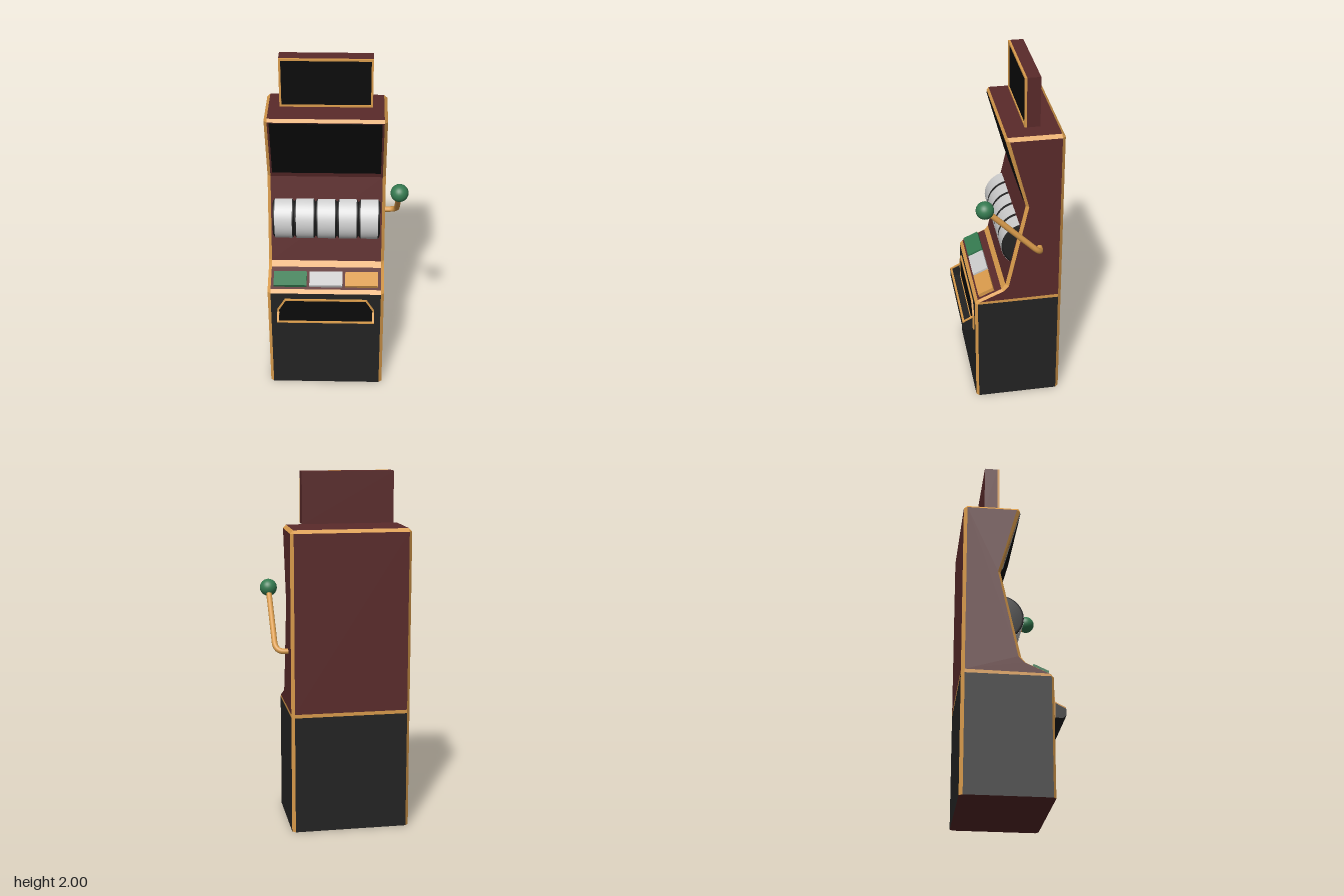
import * as THREE from 'three';

const mat = (color) => new THREE.MeshStandardMaterial({ color });
const M = {
  red: mat(0x5a2a2a), black: mat(0x232323), screen: mat(0x0a0a0a),
  gold: mat(0xd99b4b), green: mat(0x357a50), grey: mat(0xcccccc),
};

function add(parent, name, geo, material, x = 0, y = 0, z = 0, rx = 0) {
  const mesh = new THREE.Mesh(geo, material);
  mesh.name = name;
  mesh.position.set(x, y, z);
  mesh.rotation.x = rx;
  parent.add(mesh);
  return mesh;
}
const box = (w, h, d) => new THREE.BoxGeometry(w, h, d);
const toShape = (pts) => new THREE.Shape(pts.map(([a, b]) => new THREE.Vector2(a, b)));
const extrude = (shape, depth) => new THREE.ExtrudeGeometry(shape, { depth, bevelEnabled: false });
// Extrudes a [z, y] outline across x, centred on x = 0
const extrudeX = (pts, width) =>
  extrude(toShape(pts), width).rotateY(-Math.PI / 2).translate(width / 2, 0, 0);
// Flat ring between two outlines
function ring(outer, inner, depth) {
  const s = toShape(outer);
  s.holes.push(toShape(inner));
  return extrude(s, depth);
}

// Cabinet outline: outer [z, y], side-panel [z, y], colour of the band to the next point
const OUTLINE = [
  [0.212, 0, 0.197, 0, 'black'],
  [0.212, 0.665, 0.197, 0.665, 'gold'],
  [0.195, 0.685, 0.185, 0.68, 'red'],
  [0.06, 0.745, 0.052, 0.738, 'gold'],
  [0.037, 0.775, 0.02, 0.772, 'red'],
  [-0.074, 1.278, -0.09, 1.278, 'red'],
  [0.037, 1.68, 0.016, 1.68, 'gold'],
  [0.026, 1.698, 0.016, 1.68, 'red'],
  [-0.264, 1.698, -0.264, 1.68, 'gold'],
  [-0.283, 1.68, -0.264, 1.68, 'red'],
  [-0.283, 0.685, -0.264, 0.685, 'gold'],
  [-0.283, 0.665, -0.264, 0.665, 'black'],
  [-0.283, 0, -0.264, 0, 'red'],
];

function cabinet(parent) {
  const W = 0.334, C = 0.018;
  const faces = { red: [], black: [], gold: [] };
  const quad = (key, a, b, c, d) => faces[key].push(...a, ...b, ...c, ...a, ...c, ...d);
  const outer = (p, x) => [x, p[1], p[0]];
  const inner = (p, x) => [x, p[3], p[2]];

  // Bands across the width and gold chamfers on both sides
  OUTLINE.forEach((p, i) => {
    const q = OUTLINE[(i + 1) % OUTLINE.length];
    const e = W - C;
    quad(p[4], outer(p, -e), outer(p, e), outer(q, e), outer(q, -e));
    const edge = i === OUTLINE.length - 1 ? 'red' : 'gold';
    quad(edge, outer(p, e), inner(p, W), inner(q, W), outer(q, e));
    quad(edge, inner(p, -W), outer(p, -e), outer(q, -e), inner(q, -W));
  });

  // Side panels: base, trim line, upper body
  const panels = [['black', [0, 1, 11, 12]], ['gold', [1, 2, 10, 11]], ['red', [2, 3, 4, 5, 6, 8, 10]]];
  for (const [key, ids] of panels) {
    const pts = ids.map((i) => new THREE.Vector2(OUTLINE[i][2], OUTLINE[i][3]));
    for (const t of THREE.ShapeUtils.triangulateShape(pts, [])) {
      const [a, b, c] = t.map((k) => pts[k]);
      const ccw = (b.x - a.x) * (c.y - a.y) - (b.y - a.y) * (c.x - a.x) > 0;
      for (const s of [1, -1]) {
        const tri = ccw === (s > 0) ? [a, c, b] : [a, b, c];
        for (const v of tri) faces[key].push(s * W, v.y, v.x);
      }
    }
  }
  const names = { red: 'cabinetPanels', black: 'cabinetBase', gold: 'cabinetTrim' };
  for (const key in faces) {
    const g = new THREE.BufferGeometry();
    g.setAttribute('position', new THREE.Float32BufferAttribute(faces[key], 3));
    g.computeVertexNormals();
    add(parent, names[key], g, M[key]);
  }
}

function reels(parent) {
  const drum = [[0, -0.061], [0.12, -0.061], [0.133, -0.05], [0.133, 0.05], [0.12, 0.061], [0, 0.061]];
  for (let i = -2; i <= 2; i++) {
    const reel = new THREE.Group();
    reel.name = 'reel';
    reel.position.set(i * 0.122, 1.017, -0.077);
    reel.rotation.z = Math.PI / 2;
    parent.add(reel);
    add(reel, 'reelDrum', new THREE.LatheGeometry(drum.map(([r, y]) => new THREE.Vector2(r, y)), 48), M.black);
    add(reel, 'reelBand', new THREE.CylinderGeometry(0.1345, 0.1345, 0.099, 48), M.grey);
  }
}

function sign(parent) {
  const w = 0.253, y0 = 1.718, y1 = 2, b = 0.011;
  const rect = (e) => [[-w + e, y0 + e], [w - e, y0 + e], [w - e, y1 - e], [-w + e, y1 - e]];
  add(parent, 'signBox', box(2 * w, y1 - y0, 0.073), M.red, 0, (y0 + y1) / 2, -0.1235);
  add(parent, 'signFrame', ring(rect(0), rect(b), 0.012), M.gold, 0, 0, -0.087);
  add(parent, 'signScreen', box(2 * (w - b), y1 - y0 - 2 * b, 0.006), M.screen, 0, (y0 + y1) / 2, -0.084);
}

function tray(parent) {
  const w = 0.28;
  const arch = (e) => [[-w + e, 0.453 + e], [w - e, 0.453 + e], [w - e, 0.553 - e * 0.3],
    [w - 0.045 - e * 0.5, 0.628 - e], [-w + 0.045 + e * 0.5, 0.628 - e], [-w + e, 0.553 - e * 0.3]];
  add(parent, 'trayArch', ring(arch(0), arch(0.009), 0.012), M.gold, 0, 0, 0.21);
  add(parent, 'trayBack', extrude(toShape(arch(0.009)), 0.006), M.screen, 0, 0, 0.21);
  // Trough with a gold rim
  const side = [[0.222, 0.453], [0.262, 0.453], [0.28, 0.466], [0.28, 0.506], [0.222, 0.536]];
  const rim = [[0.28, 0.506], [0.28, 0.513], [0.222, 0.543], [0.222, 0.536]];
  for (const s of [-1, 1]) {
    add(parent, 'traySide', extrudeX(side, 0.012), M.black, s * (w - 0.006));
    add(parent, 'traySideRim', extrudeX(rim, 0.012), M.gold, s * (w - 0.006));
  }
  const front = [[0.222, 0.453], [0.262, 0.453], [0.28, 0.466], [0.28, 0.506], [0.268, 0.506], [0.268, 0.468], [0.222, 0.463]];
  add(parent, 'trayTrough', extrudeX(front, 2 * w - 0.024), M.black);
  add(parent, 'trayFrontRim', box(2 * w - 0.024, 0.007, 0.012), M.gold, 0, 0.5095, 0.274);
}

function lever(parent) {
  const v = (x, y, z) => new THREE.Vector3(x, y, z);
  const path = new THREE.CurvePath();
  path.add(new THREE.LineCurve3(v(0.32, 1.015, -0.15), v(0.35, 1.015, -0.15)));
  path.add(new THREE.QuadraticBezierCurve3(v(0.35, 1.015, -0.15), v(0.403, 1.015, -0.15), v(0.403, 1.06, -0.105)));
  path.add(new THREE.LineCurve3(v(0.403, 1.06, -0.105), v(0.403, 1.325, 0.162)));
  add(parent, 'leverArm', new THREE.TubeGeometry(path, 40, 0.016, 12), M.gold);
  add(parent, 'leverKnob', new THREE.SphereGeometry(0.049, 32, 20), M.green, 0.403, 1.325, 0.162);
}

export function createModel() {
  const group = new THREE.Group();
  group.name = 'slotMachine';
  const body = new THREE.Group();
  body.name = 'machine';
  body.position.x = -0.06;
  group.add(body);

  cabinet(body);
  reels(body);
  sign(body);
  tray(body);
  lever(body);

  // Upper screen lying on the leaning face
  add(body, 'upperScreen', box(0.61, 0.38, 0.008), M.screen, 0, 1.493, -0.014, Math.atan2(0.111, 0.402));

  // Three buttons on the sloping shelf
  [M.green, M.grey, M.gold].forEach((m, i) =>
    add(body, 'button', box(0.189, 0.026, 0.092), m, (i - 1) * 0.205, 0.717, 0.143, Math.atan2(0.06, 0.135)));
  return group;
}
